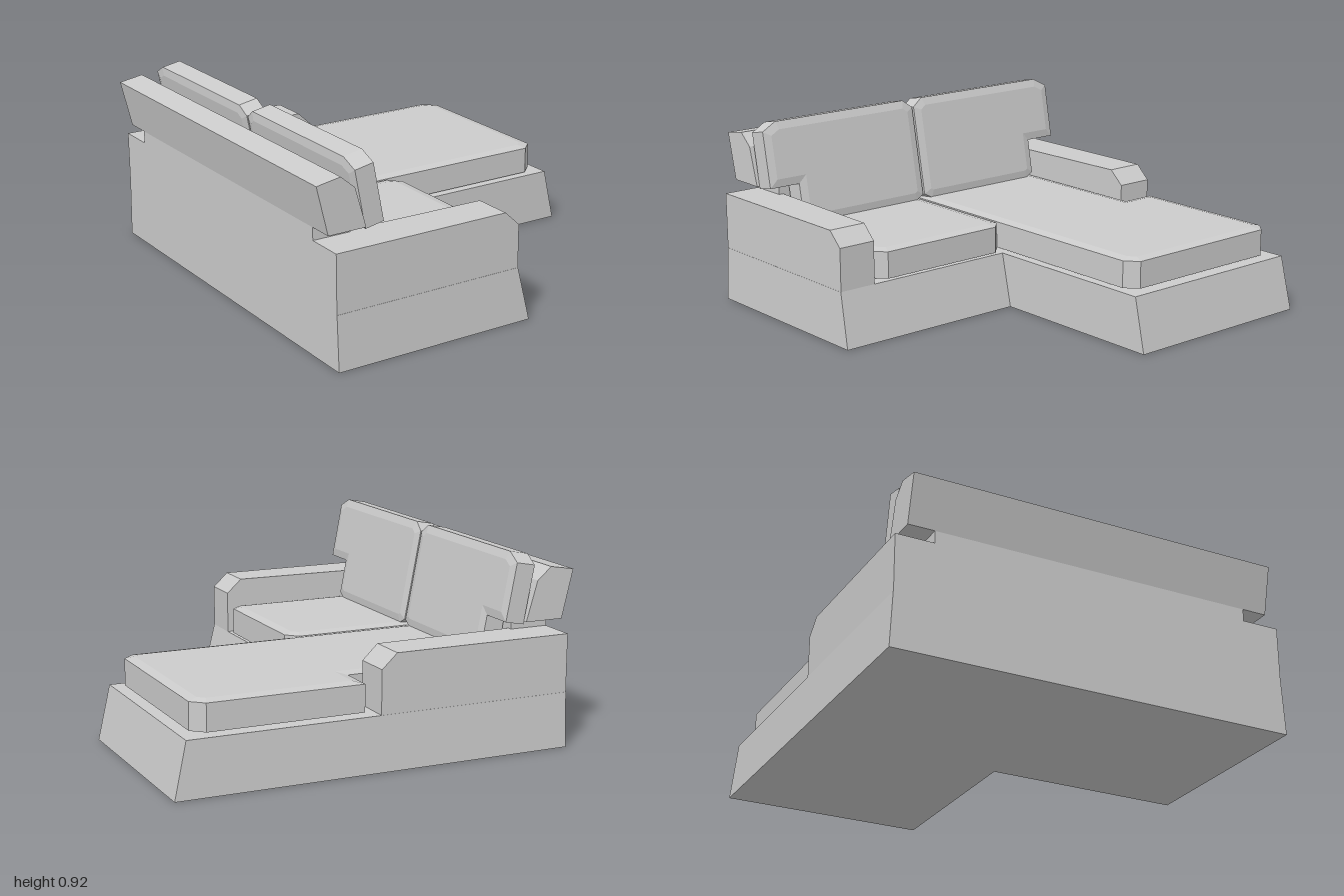
import * as THREE from 'three';

const material = new THREE.MeshStandardMaterial({ color: 0xcccccc, flatShading: true });

// Extrude an outline; with an inset, both faces get a shallow bevel inside the outline.
function extrude(points, depth, inset = 0, rise = 0.01) {
  const shape = new THREE.Shape(points.map(([a, b]) => new THREE.Vector2(a, b)));
  if (!inset) return new THREE.ExtrudeGeometry(shape, { depth, bevelEnabled: false });
  return new THREE.ExtrudeGeometry(shape, {
    depth: depth - 2 * rise, bevelEnabled: true, bevelSegments: 1,
    bevelSize: inset, bevelOffset: -inset, bevelThickness: rise,
  }).translate(0, 0, rise);
}

// Horizontal slab from an [x, z] outline.
function slab(points, y0, y1, inset) {
  return extrude(points.map(([x, z]) => [x, -z]), y1 - y0, inset)
    .rotateX(-Math.PI / 2).translate(0, y0, 0);
}

// Move every vertex by a rule.
function reshape(geometry, rule) {
  const p = geometry.attributes.position;
  const v = new THREE.Vector3();
  for (let i = 0; i < p.count; i++) {
    rule(v.fromBufferAttribute(p, i));
    p.setXYZ(i, v.x, v.y, v.z);
  }
  geometry.computeVertexNormals();
  return geometry;
}

export function createModel() {
  const group = new THREE.Group();
  const add = (name, geometry) => {
    const mesh = new THREE.Mesh(geometry, material);
    mesh.name = name;
    group.add(mesh);
    return mesh;
  };

  // L-shaped base, its front and sides leaning inwards
  add('base', reshape(
    slab([[-0.945, -1], [1, -1], [1, 0.015], [0.075, 0.015], [0.075, 1], [-0.945, 1]], 0, 0.262),
    (v) => {
      if (v.y < 0.1) return;
      if (v.x > 0) v.x -= 0.06;
      if (Math.abs(v.z) > 0.5) v.z *= 0.988;
    }));

  // Armrests with a chamfered front and a slightly tapered inner side
  const armProfile = [[-0.945, 0.26], [0.015, 0.26], [0.015, 0.47], [-0.06, 0.54], [-0.945, 0.54]];
  for (const side of [1, -1]) {
    const arm = extrude(armProfile, 0.192).translate(0, 0, side > 0 ? 0.795 : -0.987);
    add(side > 0 ? 'leftArm' : 'rightArm', reshape(arm, (v) => {
      if (Math.abs(v.z) < 0.9) v.z = side * (0.795 + 0.025 * v.x);
    }));
  }

  // Back wall between the arms and the leaning backrest above it
  add('backWall', new THREE.BoxGeometry(0.19, 0.34, 1.6).translate(-0.85, 0.43, 0));
  add('backrest', extrude(
    [[-0.945, 0.6], [-0.755, 0.6], [-0.81, 0.79], [-0.88, 0.85], [-1, 0.83]], 1.855
  ).translate(0, 0, -0.93));

  // Seat cushions
  add('chaiseCushion', slab([
    [-0.76, -0.01], [0.83, -0.01], [0.89, -0.065], [0.89, -0.89], [0.83, -0.945],
    [0.075, -0.945], [0.075, -0.77], [-0.76, -0.77],
  ], 0.262, 0.412, 0.045));
  add('seatCushion', slab([
    [-0.76, 0.005], [-0.04, 0.005], [0.015, 0.06], [0.015, 0.715], [-0.04, 0.768], [-0.76, 0.768],
  ], 0.262, 0.412, 0.045));

  // Leaning back cushions, each with a wing reaching over its arm
  const outline = [
    [0.05, 0], [0.7, 0], [0.745, 0.025], [0.745, 0.2], [0.912, 0.2],
    [0.912, 0.478], [0.835, 0.519], [0.06, 0.519], [0.005, 0.478], [0.005, 0.025],
  ];
  for (const side of [1, -1]) {
    const cushion = extrude(outline.map(([z, y]) => [-side * z, y]), 0.115, 0.04)
      .rotateY(Math.PI / 2).translate(-0.115, 0, 0);
    const mesh = add(side > 0 ? 'leftBackCushion' : 'rightBackCushion', cushion);
    mesh.position.set(-0.61, 0.41, 0);
    mesh.rotation.z = 0.188;
  }

  return group;
}
